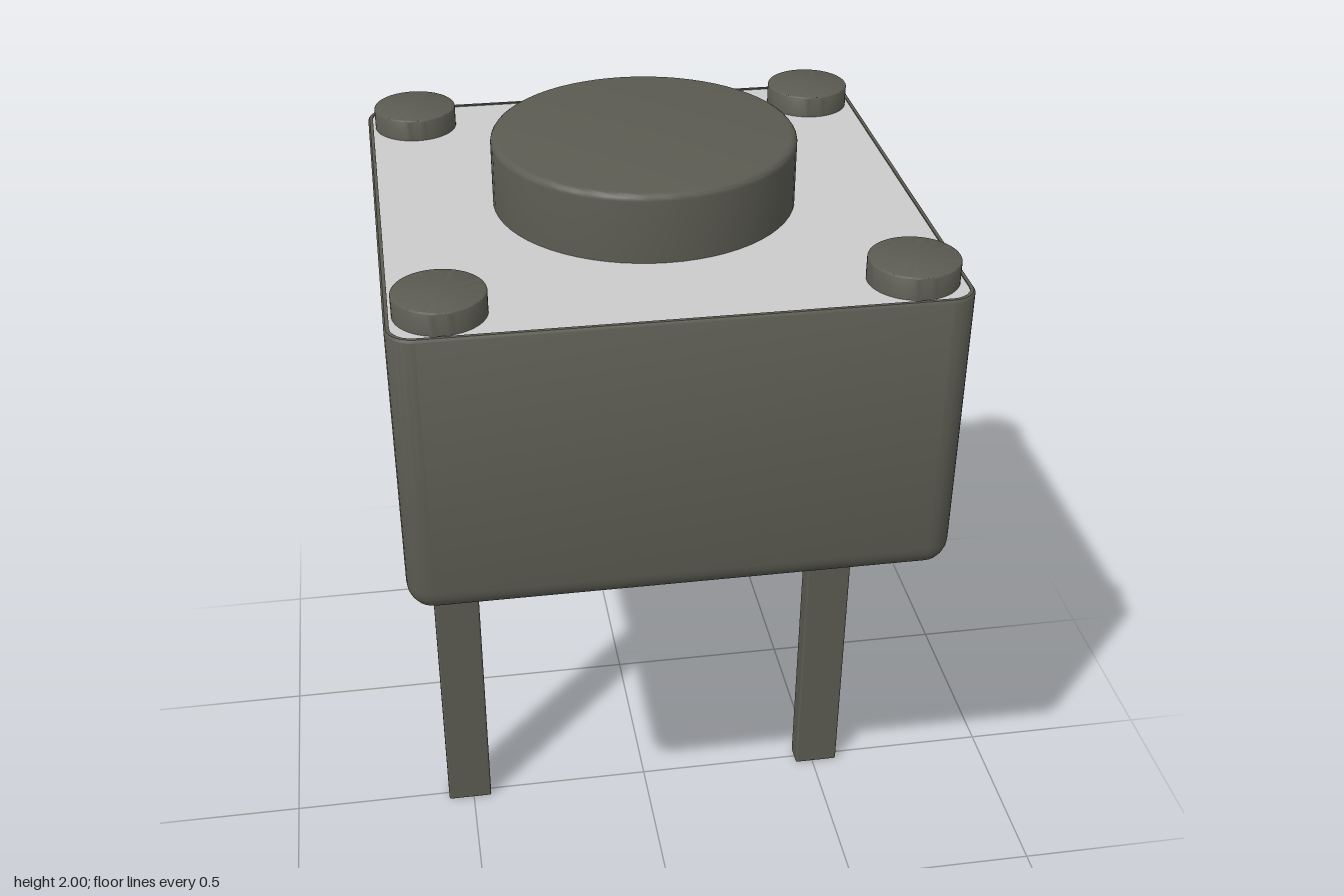
import * as THREE from 'three';
import { toCreasedNormals } from 'three/addons/utils/BufferGeometryUtils.js';
import { RoundedBoxGeometry } from 'three/addons/geometries/RoundedBoxGeometry.js';

const CORNER_STEPS = 6;

// Skin through rounded-square rings; each ring is [half size of corner centres, corner radius, y], bottom to top
function roundedSquareLoft(rings) {
  const positions = [], indices = [];
  const n = 4 * (CORNER_STEPS + 1);
  for (const [c, r, y] of rings) {
    for (let q = 0; q < 4; q++) {
      const sx = q === 0 || q === 3 ? 1 : -1;
      const sz = q < 2 ? 1 : -1;
      for (let i = 0; i <= CORNER_STEPS; i++) {
        const a = (q + i / CORNER_STEPS) * Math.PI / 2;
        positions.push(sx * c + r * Math.cos(a), y, sz * c + r * Math.sin(a));
      }
    }
  }
  for (let k = 0; k < rings.length - 1; k++) {
    for (let i = 0; i < n; i++) {
      const a = k * n + i, b = k * n + (i + 1) % n;
      indices.push(a, a + n, b, b, a + n, b + n);
    }
  }
  const geometry = new THREE.BufferGeometry();
  geometry.setAttribute('position', new THREE.Float32BufferAttribute(positions, 3));
  geometry.setIndex(indices);
  return toCreasedNormals(geometry, 0.6);
}

// Upright disc with a rounded top edge
function roundedDisc(radius, bottom, top, fillet) {
  const profile = [new THREE.Vector2(0, bottom), new THREE.Vector2(radius, bottom)];
  for (let i = 0; i <= 4; i++) {
    const a = i / 4 * Math.PI / 2;
    profile.push(new THREE.Vector2(radius - fillet + fillet * Math.cos(a), top - fillet + fillet * Math.sin(a)));
  }
  profile.push(new THREE.Vector2(0, top));
  return toCreasedNormals(new THREE.LatheGeometry(profile, 64), 0.6);
}

export function createModel() {
  const group = new THREE.Group();
  const dark = new THREE.MeshStandardMaterial({ color: 0x5b5b52 });
  const grey = new THREE.MeshStandardMaterial({ color: 0xcccccc });

  const add = (name, geometry, material, x = 0, y = 0, z = 0) => {
    const mesh = new THREE.Mesh(geometry, material);
    mesh.name = name;
    mesh.position.set(x, y, z);
    group.add(mesh);
  };

  // Housing: rounded underside, upright walls, thin rim around a shallow recess
  const c = 0.57, r = 0.062, bottom = 1.13, top = 1.84;
  const rings = [[0, 0, bottom]];
  for (let i = 0; i <= 6; i++) {
    const a = i / 6 * Math.PI / 2;
    rings.push([c, r * Math.sin(a), bottom + r * (1 - Math.cos(a))]);
  }
  rings.push([c, r, top - 0.006], [c, r - 0.004, top], [c, 0.05, top], [c, 0.05, top - 0.015], [0, 0, top - 0.015]);
  add('housing', roundedSquareLoft(rings), dark);

  // Cover plate lying in the recess
  add('coverPlate', roundedSquareLoft([
    [0, 0, 1.82], [c, 0.05, 1.82], [c, 0.05, 1.837], [0, 0, 1.837],
  ]), grey);

  // Push button
  add('button', roundedDisc(0.356, 1.82, 2, 0.016), dark);

  // Corner rivets
  const rivet = roundedDisc(0.102, 1.82, 1.89, 0.005);
  for (const x of [-0.512, 0.512]) {
    for (const z of [-0.512, 0.512]) add('cornerRivet', rivet, dark, x, 0, z);
  }

  // Flat contact pins
  const pin = new RoundedBoxGeometry(0.12, 1.16, 0.06, 2, 0.006);
  add('leftPin', pin, dark, 0.51, 0.58, 0);
  add('rightPin', pin, dark, -0.51, 0.58, 0);

  return group;
}
